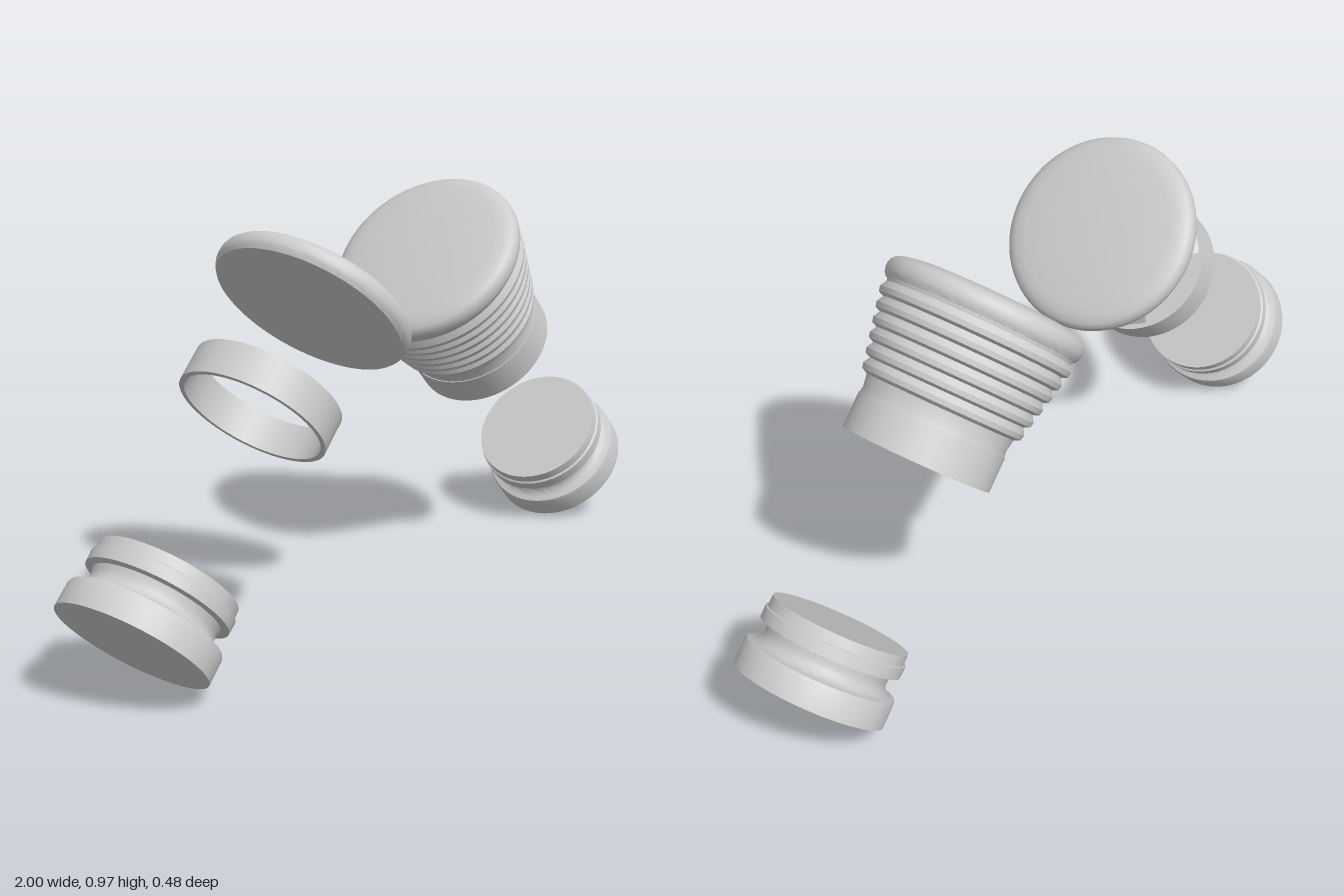
import * as THREE from 'three';
import { toCreasedNormals } from 'three/addons/utils/BufferGeometryUtils.js';

const grey = new THREE.MeshStandardMaterial({ color: 0xcccccc });
grey.name = 'light grey';

// Turned part from [radius, height] points, outside going up
function turned(name, points) {
  const lathe = new THREE.LatheGeometry(points.map(([r, h]) => new THREE.Vector2(r, h)), 72);
  const mesh = new THREE.Mesh(toCreasedNormals(lathe, 0.5), grey);
  mesh.name = name;
  return mesh;
}

// Place a part with its axis leaning 45 degrees inwards
function place(part, x, y) {
  part.position.set(x, y, 0);
  part.rotation.z = Math.sign(x) * Math.PI / 4;
  return part;
}

// Solid plug with a rounded groove below a stepped lip
const plugProfile = [
  [0, 0], [0.181, 0], [0.181, 0.056], [0.178, 0.064], [0.168, 0.067], [0.158, 0.07],
  [0.151, 0.077], [0.147, 0.087], [0.147, 0.098], [0.151, 0.112], [0.169, 0.115],
  [0.17, 0.143], [0.165, 0.146], [0.164, 0.17], [0, 0.17],
];

// Gently domed lid with a rounded rim
const lidProfile = [
  [0, 0], [0.232, 0], [0.238, 0.008], [0.241, 0.018], [0.241, 0.03], [0.238, 0.04],
  [0.231, 0.048], [0.215, 0.055], [0.19, 0.06], [0.1, 0.064], [0, 0.067],
];

// Thin open collar
const ringProfile = [[0.167, 0], [0.179, 0], [0.179, 0.085], [0.167, 0.085], [0.167, 0]];

// Hollow tapered body with saw-tooth ribs inside and out
function bodyProfile() {
  const ribs = 6, start = 0.135, pitch = 0.034;
  const outer = [[0.155, 0.082], [0.177, 0.082], [0.175, 0.1], [0.18, 0.128]];
  const inner = [[0.155, 0.13]];
  for (let i = 0; i < ribs; i++) {
    const h = start + i * pitch, r = 0.194 + i * 0.0075;
    outer.push([r, h], [r + 0.003, h + 0.012], [r - 0.006, h + 0.028]);
    inner.push([r - 0.016, h + 0.006], [r - 0.02, h + 0.028]);
  }
  outer.push([0.229, 0.345]);
  inner.push([0.213, 0.345]);
  return [...outer, ...inner.reverse(), outer[0]];
}

export function createModel() {
  const model = new THREE.Group();

  // Plugs, mirrored left and right
  for (const side of [1, -1]) {
    const plug = turned(side > 0 ? 'leftPlug' : 'rightPlug', plugProfile);
    model.add(place(plug, side * 0.872, 0.13));
  }

  // Assembled stopper: collar, ribbed body and lid on one axis
  const stopper = new THREE.Group();
  stopper.name = 'ribbedStopper';
  const cap = turned('stopperLid', lidProfile);
  cap.position.y = 0.342;
  stopper.add(turned('stopperCollar', ringProfile), turned('ribbedBody', bodyProfile()), cap);
  model.add(place(stopper, 0.469, 0.536));

  // Separate collar and lid
  model.add(place(turned('looseCollar', ringProfile), -0.47, 0.536));
  model.add(place(turned('looseLid', lidProfile), -0.266, 0.742));

  return model;
}
